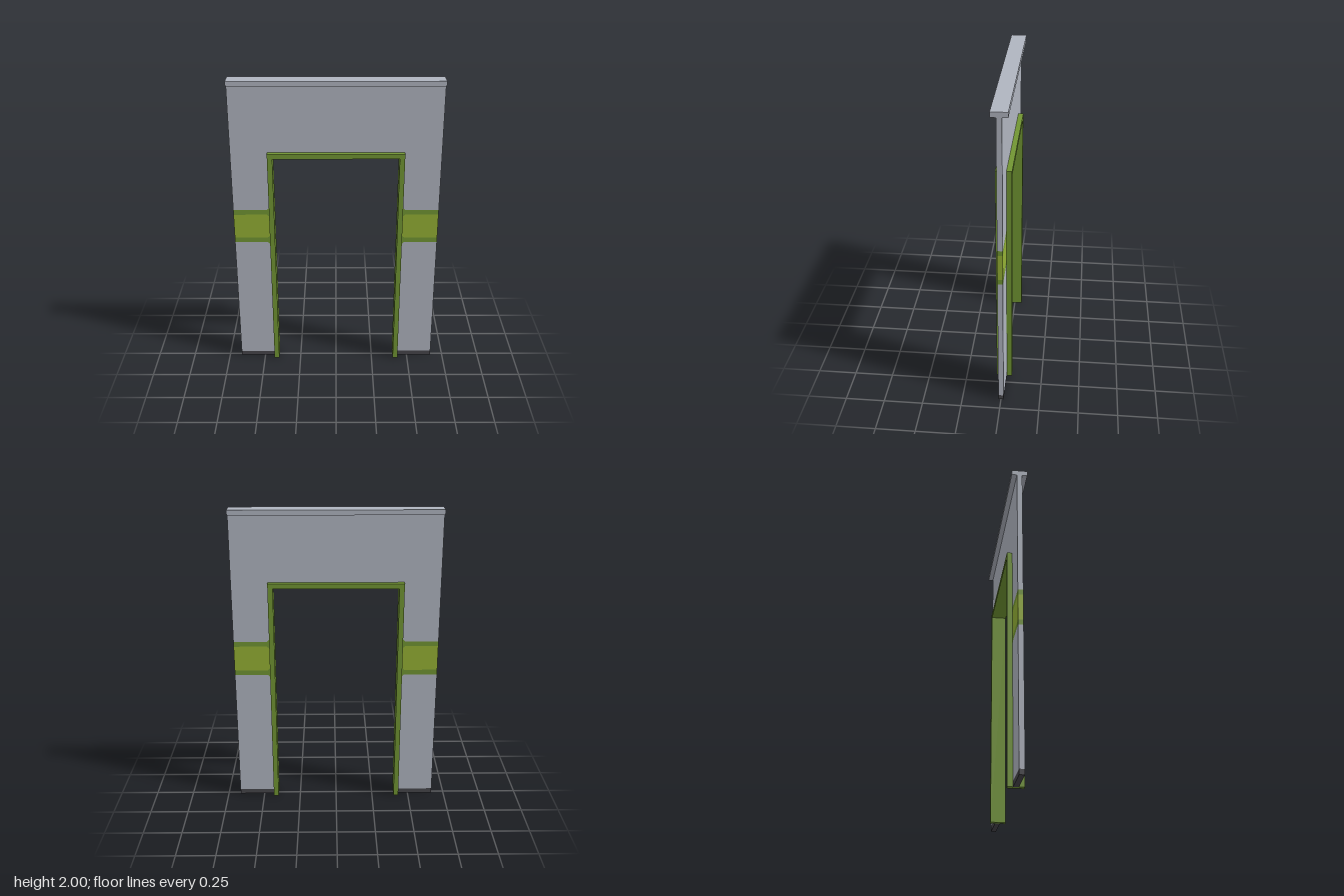
import * as THREE from 'three';

const material = (name, color) => {
  const m = new THREE.MeshStandardMaterial({ color });
  m.name = name;
  return m;
};

export function createModel() {
  const group = new THREE.Group();
  const grey = material('wall grey', 0xb0b5c0);
  const lime = material('lime stripe', 0x95b135);
  const green = material('frame green', 0x729633);
  const dark = material('skirting dark', 0x47464b);

  const W = 0.667;      // half width of the wall
  const F = 0.433;      // outer half width of the door frame
  const K = 0.45;       // where the stripe starts to flare
  const WALL = 0.033;   // wall thickness
  const DEPTH = 0.1;    // frame and cap depth

  // Upright slab cut from an outline in x and y
  const slab = (name, points, depth, mat) => {
    const shape = new THREE.Shape(points.map(([x, y]) => new THREE.Vector2(x, y)));
    const geo = new THREE.ExtrudeGeometry(shape, { depth, bevelEnabled: false });
    geo.translate(0, 0, -depth / 2);
    const mesh = new THREE.Mesh(geo, mat);
    mesh.name = name;
    group.add(mesh);
  };

  // Edges between the wall bands: [height at the outer side, height at the frame]
  const edges = [[0, 0], [0.033, 0.033], [0.9, 0.885], [0.933, 0.948], [1.1, 1.085], [1.133, 1.148]];
  const bands = [
    ['skirting', dark], ['lowerWall', grey], ['stripeLowerEdge', green],
    ['stripe', lime], ['stripeUpperEdge', green],
  ];
  for (const [side, s] of [['left', 1], ['right', -1]]) {
    bands.forEach(([name, mat], i) => {
      const [lo, loF] = edges[i];
      const [hi, hiF] = edges[i + 1];
      const pts = [[W, lo], [K, lo], [F, loF], [F, hiF], [K, hi], [W, hi]];
      slab(`${side} ${name}`, pts.map(([x, y]) => [s * x, y]), WALL, mat);
    });
  }

  // Wall above the stripe, reaching over the doorway
  slab('upperWall', [
    [-W, 1.133], [-K, 1.133], [-F, 1.148], [-F, 1.533],
    [F, 1.533], [F, 1.148], [K, 1.133], [W, 1.133], [W, 1.967], [-W, 1.967],
  ], WALL, grey);

  // Door frame
  slab('doorFrame', [
    [-F, 0], [-0.4, 0], [-0.4, 1.5], [0.4, 1.5], [0.4, 0], [F, 0], [F, 1.533], [-F, 1.533],
  ], DEPTH, green);

  // Cap along the top
  slab('topCap', [[-W, 1.967], [W, 1.967], [W, 2], [-W, 2]], DEPTH, grey);

  return group;
}
